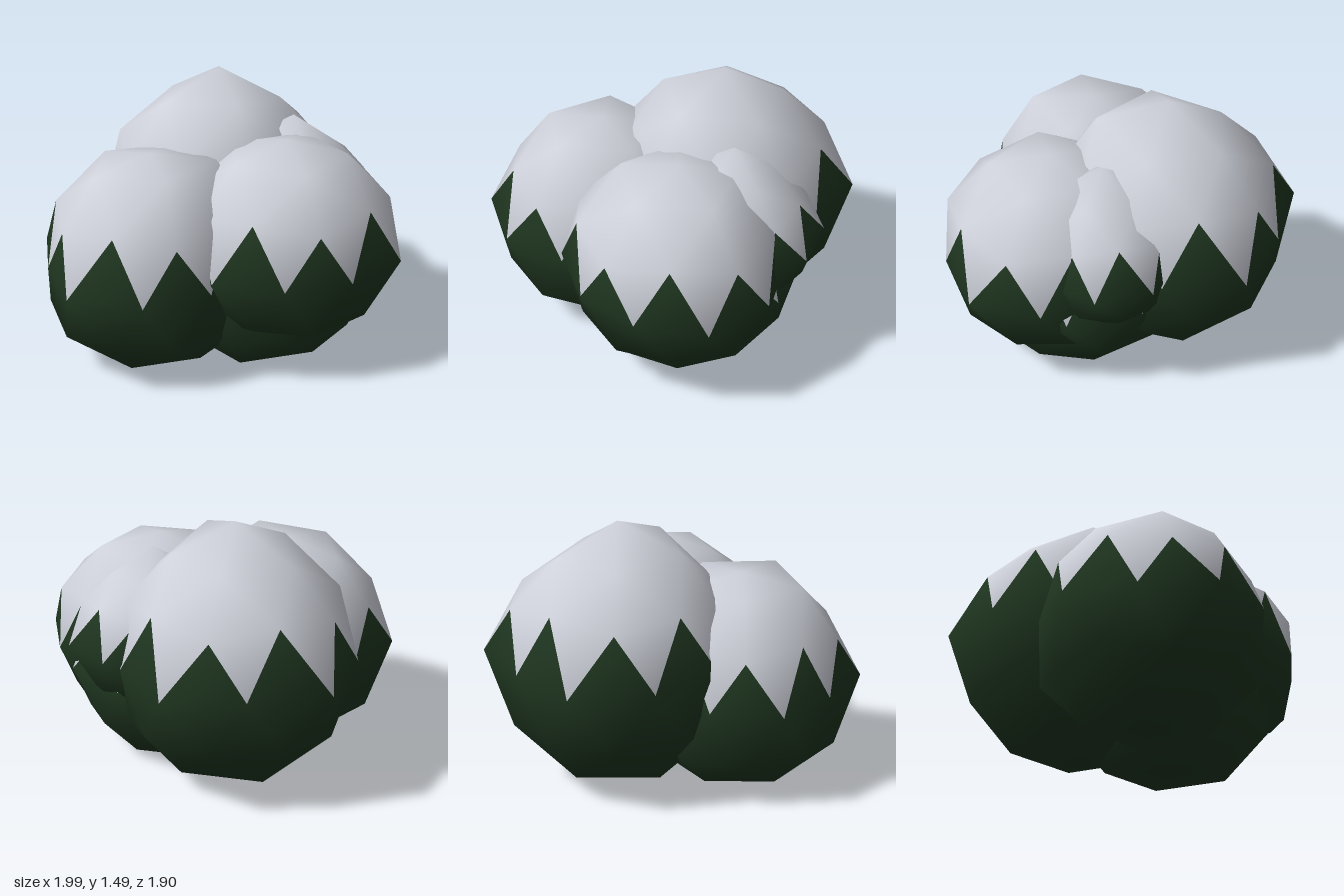
import * as THREE from 'three';
import { mergeVertices } from 'three/addons/utils/BufferGeometryUtils.js';

const snow = new THREE.MeshStandardMaterial({ color: 0xcdd0d9 });
snow.name = 'snow';
const leaves = new THREE.MeshStandardMaterial({ color: 0x1f3620 });
leaves.name = 'dark green leaves';

// Radius of a clump in a given unit direction. Each of the seven rows, from top
// pole to bottom pole, has one radius or a few running round from +x to +z.
const rowHeights = [0.95, 0.7, 0.1, -0.1, -0.7, -0.95];
function radiusAt(d, rows) {
  const radii = [].concat(rows[rowHeights.filter((h) => d.y < h).length]);
  const turn = Math.atan2(d.z, d.x) / (2 * Math.PI) + 1;
  return radii[Math.floor(turn * radii.length + 0.1) % radii.length];
}

// Uneven icosphere standing on a corner, with a zigzag snow cap
function makeClump(name, at, rows) {
  let geo = new THREE.IcosahedronGeometry(1, 1);
  geo.deleteAttribute('normal');
  geo.deleteAttribute('uv');
  geo.rotateZ(-Math.atan(2 / (1 + Math.sqrt(5))));
  geo = mergeVertices(geo, 1e-3);

  // Sort the faces into cap and foliage before the shape is made uneven
  const pos = geo.attributes.position, idx = geo.index.array;
  const cap = [], foliage = [];
  for (let i = 0; i < idx.length; i += 3) {
    const face = [idx[i], idx[i + 1], idx[i + 2]];
    const y = face.reduce((sum, v) => sum + pos.getY(v), 0) / 3;
    (y > 0.25 ? cap : foliage).push(...face);
  }
  geo.setIndex([...cap, ...foliage]);
  geo.addGroup(0, cap.length, 0);
  geo.addGroup(cap.length, foliage.length, 1);

  const d = new THREE.Vector3();
  for (let i = 0; i < pos.count; i++) {
    d.fromBufferAttribute(pos, i);
    d.multiplyScalar(radiusAt(d, rows));
    d.y = Math.max(d.y, -at[1]); // rest flat on the ground
    pos.setXYZ(i, d.x, d.y, d.z);
  }
  geo.computeVertexNormals();

  const mesh = new THREE.Mesh(geo, [snow, leaves]);
  mesh.name = name;
  mesh.position.set(...at);
  return mesh;
}

export function createModel() {
  const bush = new THREE.Group();
  bush.name = 'snowyBush';
  bush.add(
    makeClump('backClump', [-0.02, 0.74, -0.29],
      [0.75, [0.67, 0.74, 0.7, 0.66, 0.66], 0.68,
        [0.65, 0.65, 0.64, 0.64, 0.7, 0.69, 0.77, 0.66, 0.76, 0.67], 0.72, 0.75, 0.74]),
    makeClump('frontLeftClump', [0.36, 0.63, 0.25],
      [0.62, 0.64, 0.65,
        [0.67, 0.61, 0.61, 0.65, 0.6, 0.6, 0.6, 0.6, 0.6, 0.63], 0.61, 0.51, 0.46]),
    makeClump('frontRightClump', [-0.37, 0.57, 0.3],
      [0.61, [0.68, 0.69, 0.65, 0.64, 0.64], 0.62,
        [0.6, 0.59, 0.65, 0.69, 0.59, 0.66, 0.6, 0.6, 0.6, 0.6], 0.66, 0.64, 0.57]),
    makeClump('smallSideClump', [0.41, 0.77, -0.07],
      [0.51, 0.43, 0.45, [0.46, 0.46, 0.46, 0.46, 0.51], 0.47, 0.47, 0.47]),
    makeClump('lowerClump', [0.24, 0.55, 0.15],
      [0.5, 0.55, 0.58, [0.62, 0.6, 0.6, 0.6, 0.68], 0.66, 0.7, 0.55]),
  );
  return bush;
}
